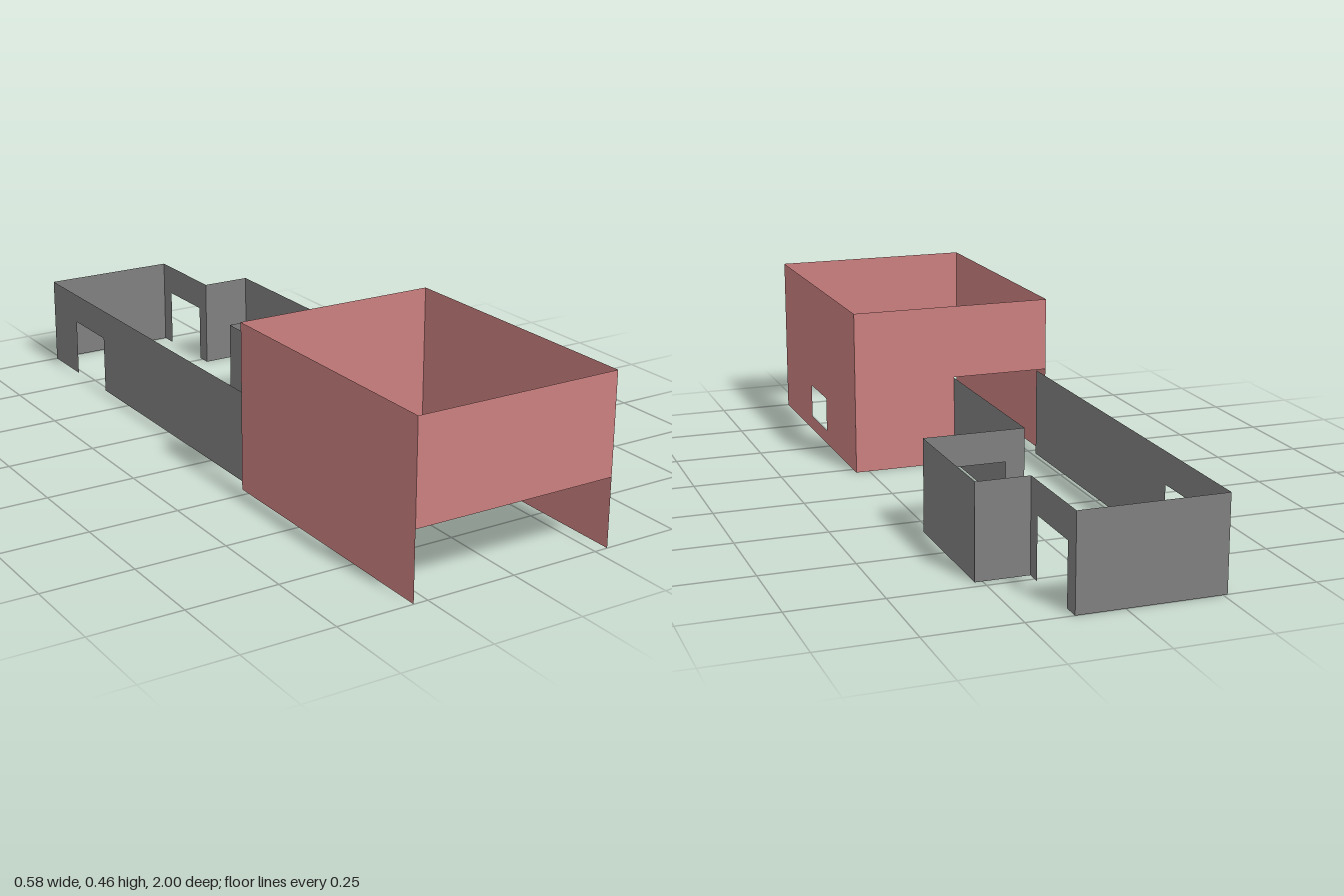
import * as THREE from 'three';

const RED = new THREE.MeshStandardMaterial({ color: 0xcc8080, side: THREE.DoubleSide });
const GREY = new THREE.MeshStandardMaterial({ color: 0x808080, side: THREE.DoubleSide });

// A thin upright wall from plan point a to b ([x, z]).
// door = [from, to, top] is cut up from the floor; hole = [from, to, bottom, top] is a window.
function wall(name, material, a, b, { base = 0, top, door, hole }) {
  const dx = b[0] - a[0], dz = b[1] - a[1];
  const length = Math.hypot(dx, dz);
  const outline = [];
  if (!door || door[0] > 0) outline.push([0, base]);
  if (door) {
    const [from, to, head] = door;
    if (from > 0) outline.push([from, base]);
    outline.push([from, head], [to, head], [to, base]);
  }
  outline.push([length, base], [length, top], [0, top]);
  const toPoints = list => list.map(p => new THREE.Vector2(...p));
  const shape = new THREE.Shape(toPoints(outline));
  if (hole) {
    const [from, to, low, high] = hole;
    shape.holes.push(new THREE.Path(toPoints([[from, low], [from, high], [to, high], [to, low]])));
  }
  const mesh = new THREE.Mesh(new THREE.ShapeGeometry(shape), material);
  mesh.name = name;
  mesh.position.set(a[0], 0, a[1]);
  mesh.rotation.y = Math.atan2(-dz, dx);
  return mesh;
}

export function createModel() {
  const model = new THREE.Group();
  model.name = 'building';

  // Tall front hall
  const hall = new THREE.Group();
  hall.name = 'tallHall';
  const L = -0.29, R = 0.288, F = 1, B = 0.218, H = 0.463;
  hall.add(
    wall('hallFrontWall', RED, [L, F], [R, F], { base: 0.188, top: H }),
    wall('hallWindowWall', RED, [R, F], [R, B], { top: H, hole: [0.305, 0.47, 0.04, 0.14] }),
    wall('hallBackWall', RED, [L, B], [R, B], { top: H, door: [0, 0.282, 0.255] }),
    wall('hallPlainWall', RED, [L, B], [L, F], { top: H })
  );

  // Low rear wing: a corridor widening into a stepped room
  const wing = new THREE.Group();
  wing.name = 'lowWing';
  const W = -0.262, C = -0.008, S = 0.127, E = 0.27;
  const zHall = 0.218, zRoom = -0.335, zStep = -0.722, zBack = -1;
  const top = 0.253, head = 0.166;
  wing.add(
    wall('corridorWall', GREY, [C, zHall], [C, zRoom], { top }),
    wall('roomFrontWall', GREY, [C, zRoom], [E, zRoom], { top, door: [0.053, 0.237, head] }),
    wall('roomSideWall', GREY, [E, zRoom], [E, zStep], { top }),
    wall('stepWall', GREY, [E, zStep], [S, zStep], { top }),
    wall('sideDoorWall', GREY, [S, zStep], [S, zBack], { top, door: [0.043, 0.23, head] }),
    wall('wingBackWall', GREY, [S, zBack], [W, zBack], { top }),
    wall('longWall', GREY, [W, zBack], [W, zHall], { top, door: [0.16, 0.347, head] })
  );

  model.add(hall, wing);
  return model;
}
